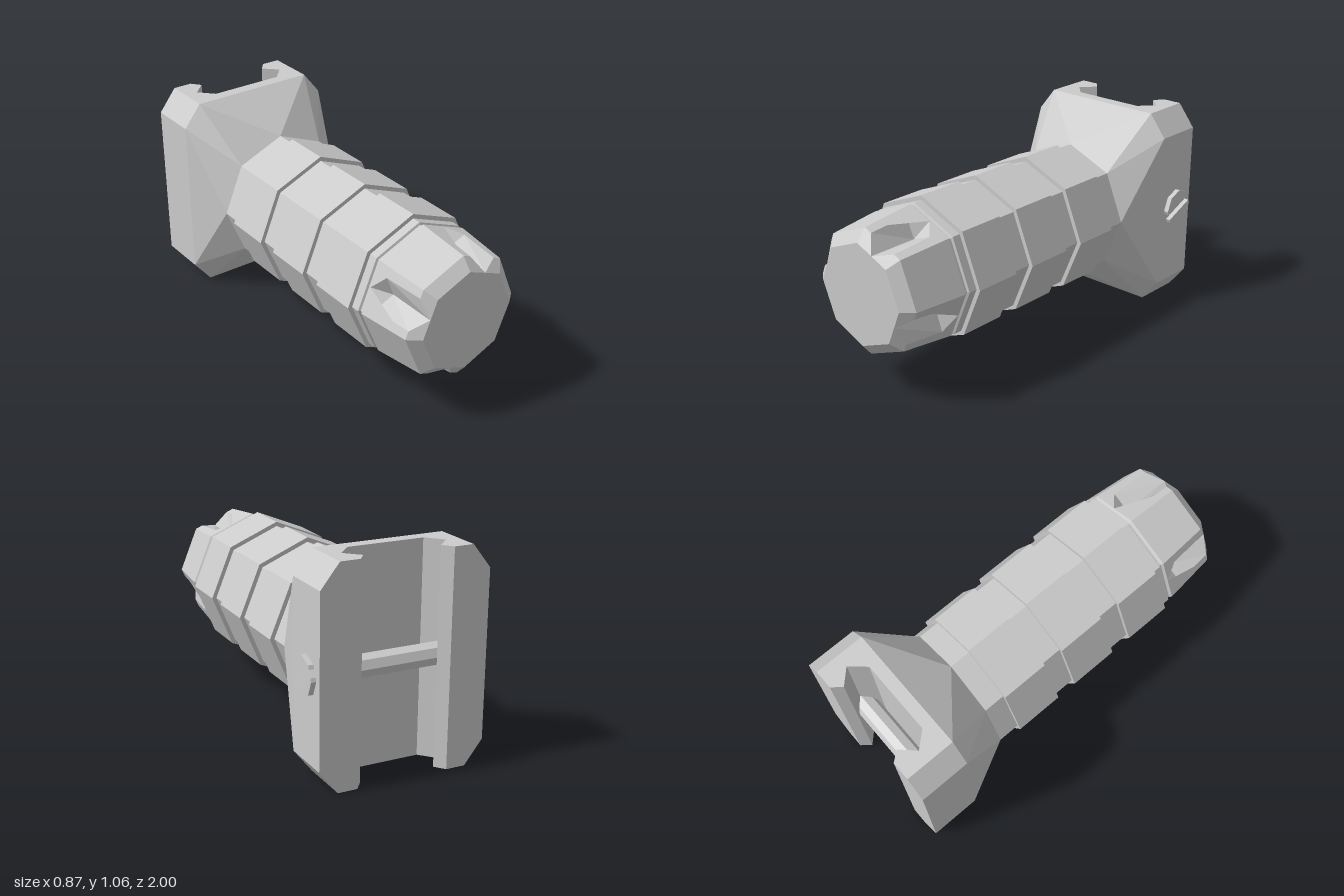
import * as THREE from 'three';

const material = new THREE.MeshStandardMaterial({ color: 0xcccccc, flatShading: true });
const AXIS_X = -0.0125, AXIS_Y = 0.53;

function part(name, geometry, x = 0, y = 0, z = 0) {
  const mesh = new THREE.Mesh(geometry, material);
  mesh.name = name;
  mesh.position.set(x, y, z);
  return mesh;
}

// Flat-sided surface from convex polygons, each fanned from its first corner
function polygons(faces) {
  const positions = [];
  for (const f of faces)
    for (let i = 1; i < f.length - 1; i++) positions.push(...f[0], ...f[i], ...f[i + 1]);
  const geometry = new THREE.BufferGeometry();
  geometry.setAttribute('position', new THREE.Float32BufferAttribute(positions, 3));
  geometry.computeVertexNormals();
  return geometry;
}

function extrude(points, depth) {
  const shape = new THREE.Shape(points.map(([x, y]) => new THREE.Vector2(x, y)));
  return new THREE.ExtrudeGeometry(shape, { depth, bevelEnabled: false });
}

// Octagonal grip with three raised bands and a thin groove before the cap
function gripGeometry() {
  const profile = [[0.35, -0.49]];
  for (const [start, end] of [[-0.38, -0.13], [-0.02, 0.235], [0.35, 0.6]])
    profile.push([0.35, start], [0.373, start], [0.373, end], [0.35, end]);
  profile.push([0.35, 0.645], [0.338, 0.65], [0.338, 0.66], [0.35, 0.67]);
  return new THREE.LatheGeometry(profile.map(([r, y]) => new THREE.Vector2(r, y)), 8).rotateX(Math.PI / 2);
}

// Tapered octagonal cap; every other side carries a V-shaped notch
function capGeometry() {
  const rows = [[0.35, 0.67], [0.32, 0.95], [0.26, 1]];
  const cos = Math.cos(Math.PI / 8), sin = Math.sin(Math.PI / 8);
  const faces = [];
  for (let k = 0; k < 8; k++) {
    const t = (k + 0.5) * Math.PI / 4;
    // w: across the side, a: distance out from the axis
    const at = (w, a, z) => [a * Math.cos(t) - w * Math.sin(t), a * Math.sin(t) + w * Math.cos(t), z];
    if (k % 2 === 0) {
      for (let i = 0; i < 2; i++) {
        const [[r, z], [r2, z2]] = [rows[i], rows[i + 1]];
        faces.push([at(-r * sin, r * cos, z), at(r * sin, r * cos, z),
          at(r2 * sin, r2 * cos, z2), at(-r2 * sin, r2 * cos, z2)]);
      }
      continue;
    }
    for (const side of [-1, 1]) {
      const [a, b, c] = rows.map(([r, z]) => at(side * r * sin, r * cos, z));
      const tip = at(0, 0.35 * cos, 0.67);
      const shoulder = at(side * 0.08, 0.3425 * cos, 0.74);
      const frontShoulder = at(side * 0.08, 0.32 * cos, 0.95);
      const floorBack = at(0, 0.26 * cos, 0.74);
      const floorFront = at(0, 0.26 * cos, 1);
      const half = [
        [a, tip, shoulder, frontShoulder, b],
        [b, frontShoulder, floorFront, c],
        [tip, floorBack, shoulder],
        [shoulder, floorBack, floorFront, frontShoulder],
      ];
      faces.push(...(side < 0 ? half : half.map(f => f.reverse())));
    }
  }
  return polygons(faces);
}

// Faceted transition from the chamfered block to the octagonal grip
function neckGeometry() {
  const base = [[0.4225, 0.413], [0.33, 0.53], [-0.33, 0.53], [-0.4225, 0.413],
    [-0.4225, -0.413], [-0.33, -0.53], [0.33, -0.53], [0.4225, -0.413]].map(([x, y]) => [x, y, -0.74]);
  const ring = base.map((_, k) => [0.35 * Math.cos(k * Math.PI / 4), 0.35 * Math.sin(k * Math.PI / 4), -0.49]);
  const faces = [];
  for (let k = 0; k < 8; k++) {
    const n = (k + 1) % 8;
    faces.push([ring[k], base[k], ring[n]], [base[k], base[n], ring[n]]);
  }
  return polygons(faces);
}

export function createModel() {
  const model = new THREE.Group();
  model.name = 'foregrip';

  model.add(part('grip', gripGeometry(), AXIS_X, AXIS_Y));
  model.add(part('notchedCap', capGeometry(), AXIS_X, AXIS_Y));
  model.add(part('capEnd', new THREE.CircleGeometry(0.26, 8), AXIS_X, AXIS_Y, 1));
  model.add(part('neck', neckGeometry(), AXIS_X, AXIS_Y));

  // Mount block with an undercut rail channel open to the back
  const half = [[0.33, 0.74], [0.33, 1], [0.2325, 1], [0.1925, 0.95], [0.2625, 0.88], [0.1925, 0.803]];
  const outline = [...half, ...half.map(([x, y]) => [-x, y]).reverse()];
  model.add(part('railMount', extrude(outline, 1.06).rotateX(-Math.PI / 2), AXIS_X));

  // Chamfered side walls of the block
  for (const s of [1, -1]) {
    const wall = [[0.33, -0.53], [0.4225, -0.413], [0.4225, 0.413], [0.33, 0.53]].map(([x, y]) => [s * x, y]);
    model.add(part(s > 0 ? 'leftWall' : 'rightWall', extrude(wall, 0.26), AXIS_X, AXIS_Y, -1));
  }

  // Clamp bolt crossing the channel
  const bolt = new THREE.CylinderGeometry(0.058, 0.058, 0.6, 8).rotateZ(Math.PI / 2);
  model.add(part('clampBolt', bolt, AXIS_X, AXIS_Y, -0.877));

  // Slotted bolt head, made of two halves either side of the slot
  const head = new THREE.Group();
  head.name = 'boltHead';
  for (const s of [0, 1]) {
    const points = [[0.0905, 0.018]];
    for (let k = 0; k < 4; k++) {
      const t = (k + 0.5) * Math.PI / 4;
      points.push([0.098 * Math.cos(t), 0.098 * Math.sin(t)]);
    }
    points.push([-0.0905, 0.018]);
    const geometry = extrude(points, 0.025).rotateZ(s * Math.PI + Math.PI / 8).rotateY(Math.PI / 2);
    head.add(part('boltHeadHalf', geometry));
  }
  head.position.set(0.41, AXIS_Y, -0.87);
  model.add(head);

  return model;
}
